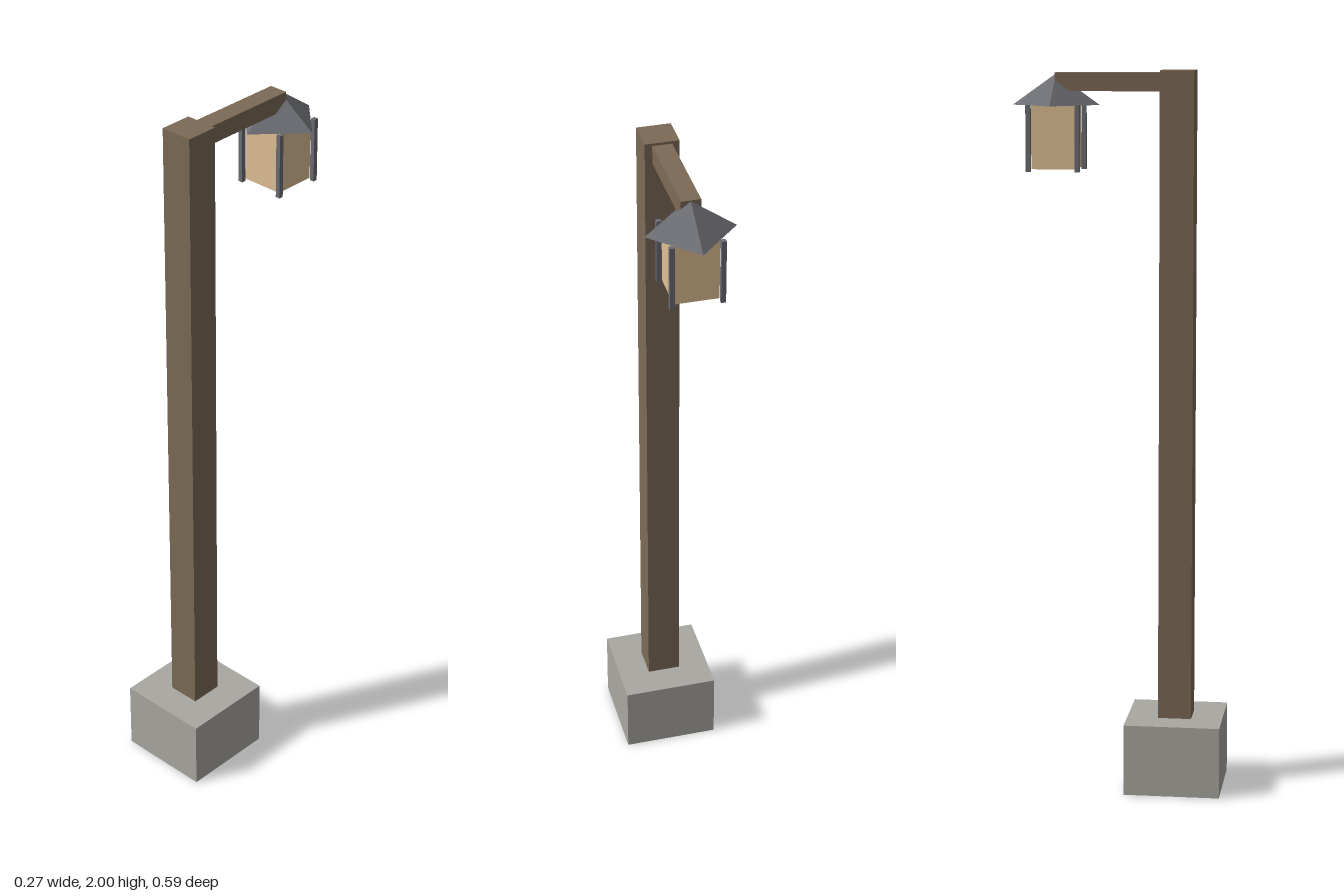
import * as THREE from 'three';

const material = (color) => new THREE.MeshStandardMaterial({ color, flatShading: true });

export function createModel() {
  const model = new THREE.Group();
  model.name = 'lampPost';
  const wood = material(0x7c6a56);
  const stone = material(0xaaa8a1);
  const metal = material(0x6c6d73);
  const glow = material(0xe0c095);

  const add = (parent, name, geometry, mat, x, y, z) => {
    const mesh = new THREE.Mesh(geometry, mat);
    mesh.name = name;
    mesh.position.set(x, y, z);
    parent.add(mesh);
  };
  const box = (w, h, d) => new THREE.BoxGeometry(w, h, d);

  // Stone footing, square post and overhanging arm
  add(model, 'base', box(0.267, 0.2, 0.267), stone, 0, 0.1, 0.16);
  add(model, 'post', box(0.093, 2, 0.093), wood, 0, 1, 0.16);
  add(model, 'arm', box(0.053, 0.05, 0.333), wood, 0, 1.968, -0.0085);

  // Lantern hanging under the end of the arm
  const lantern = new THREE.Group();
  lantern.name = 'lantern';
  lantern.position.set(0, 0, -0.175);
  model.add(lantern);
  add(lantern, 'glass', box(0.12, 0.173, 0.12), glow, 0, 1.82, 0);

  // Pyramid roof with its corners on the axes
  add(lantern, 'roof', new THREE.ConeGeometry(0.12, 0.085, 4), metal, 0, 1.9475, 0);

  // Four corner bars
  for (const x of [-0.067, 0.067])
    for (const z of [-0.067, 0.067])
      add(lantern, 'cornerBar', box(0.013, 0.18, 0.013), metal, x, 1.817, z);

  return model;
}
